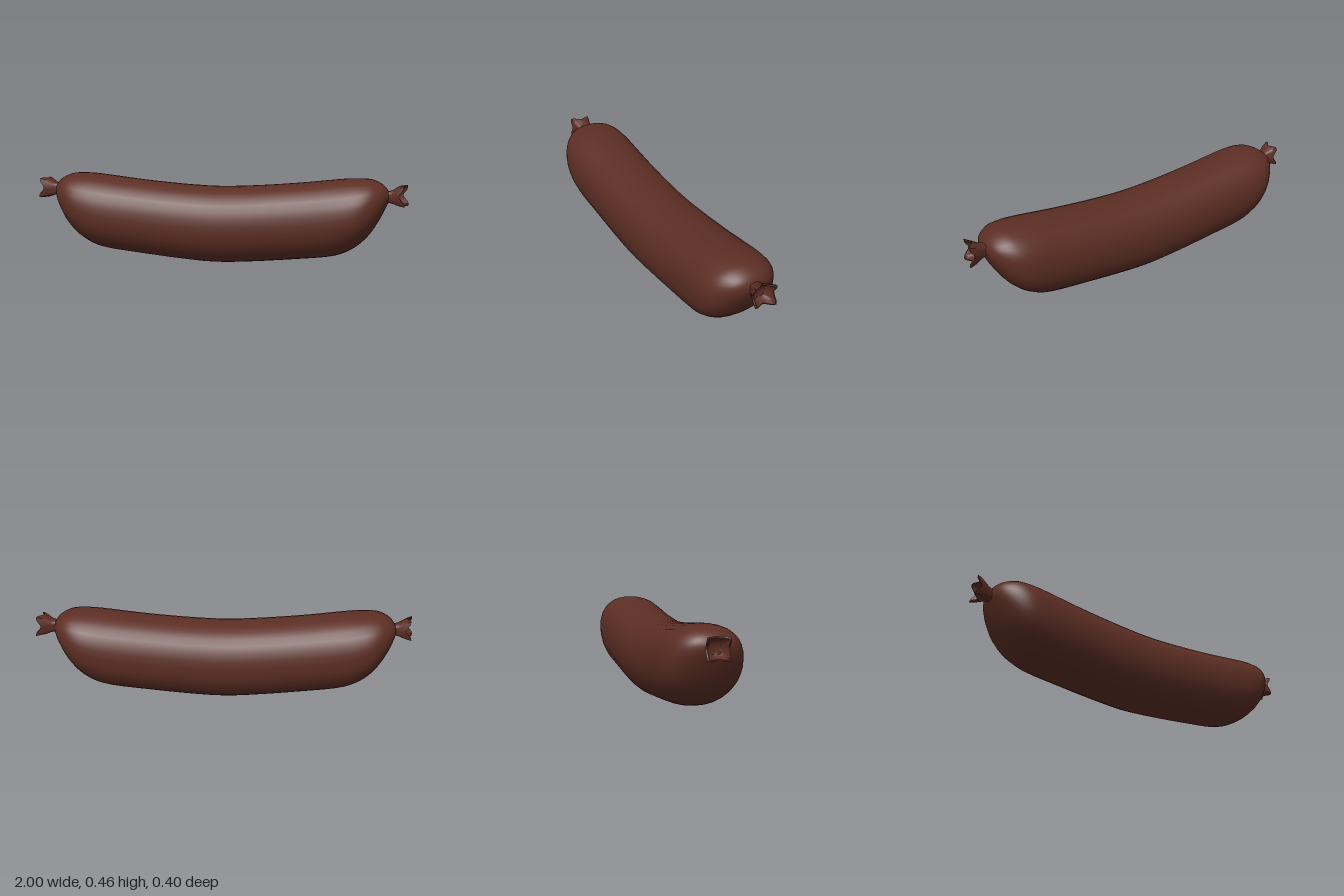
import * as THREE from 'three';
import { toCreasedNormals } from 'three/addons/utils/BufferGeometryUtils.js';

const SIDES = 32;

// Closed surface through rings ordered along +x; point(i, angle) returns [x, y, z].
function loft(ringCount, point) {
  const positions = [], indices = [];
  const centres = [[0, 0, 0], [0, 0, 0]];
  for (let i = 0; i < ringCount; i++) {
    for (let j = 0; j < SIDES; j++) {
      const p = point(i, (j / SIDES) * Math.PI * 2);
      positions.push(...p);
      if (i === 0) p.forEach((v, k) => { centres[0][k] += v / SIDES; });
      if (i === ringCount - 1) p.forEach((v, k) => { centres[1][k] += v / SIDES; });
    }
  }
  const start = ringCount * SIDES, end = start + 1;
  positions.push(...centres[0], ...centres[1]);
  for (let j = 0; j < SIDES; j++) {
    const n = (j + 1) % SIDES;
    for (let i = 0; i < ringCount - 1; i++) {
      const a = i * SIDES + j, b = i * SIDES + n;
      indices.push(a, b, a + SIDES, b, b + SIDES, a + SIDES);
    }
    const last = (ringCount - 1) * SIDES;
    indices.push(start, n, j, end, last + j, last + n);
  }
  const geometry = new THREE.BufferGeometry();
  geometry.setAttribute('position', new THREE.Float32BufferAttribute(positions, 3));
  geometry.setIndex(indices);
  geometry.computeVertexNormals();
  return geometry;
}

// Point on a unit superellipse: power 2 is a circle, higher is squarer.
function superellipse(angle, power) {
  const c = Math.cos(angle), s = Math.sin(angle);
  const r = (Math.abs(c) ** power + Math.abs(s) ** power) ** (-1 / power);
  return [c * r, s * r];
}

// Curved body: x, underside, upper side, half width
function bodyGeometry() {
  const half = [
    [0, 0.003, 0.408, 0.2],
    [0.2, 0.014, 0.416, 0.2],
    [0.42, 0.035, 0.434, 0.2],
    [0.6, 0.056, 0.454, 0.202],
    [0.69, 0.084, 0.463, 0.2],
    [0.76, 0.13, 0.465, 0.19],
    [0.815, 0.19, 0.461, 0.165],
    [0.86, 0.264, 0.442, 0.125],
    [0.886, 0.318, 0.42, 0.085],
    [0.9, 0.352, 0.395, 0.04],
    [0.904, 0.368, 0.38, 0.01],
  ];
  const stations = [...half.slice(1).reverse().map(([x, ...rest]) => [-x, ...rest]), ...half];
  const curve = (pick) => new THREE.CatmullRomCurve3(
    stations.map((s) => new THREE.Vector3(s[0], s[pick], s[3])), false, 'catmullrom', 0.5);
  const lower = curve(1), upper = curve(2);
  const count = (stations.length - 1) * 3 + 1;
  const rings = Array.from({ length: count }, (_, i) => {
    const t = i / (count - 1);
    return [lower.getPoint(t), upper.getPoint(t)];
  });
  return loft(count, (i, angle) => {
    const [low, high] = rings[i];
    const [y, z] = superellipse(angle, 2.25);
    return [low.x, (low.y + high.y) / 2 + y * (high.y - low.y) / 2, z * low.z];
  });
}

// Flared casing end: x, half size, scallop depth, squareness; folds back into a hollow
function knotGeometry() {
  const rings = [
    [0.875, 0.034, 0, 3],
    [0.9, 0.029, 0, 4],
    [0.92, 0.034, 0.002, 5],
    [0.945, 0.045, 0.006, 8],
    [0.965, 0.052, 0.011, 12],
    [0.974, 0.054, 0.013, 14],
    [0.974, 0.047, 0.013, 12],
    [0.96, 0.041, 0.008, 8],
    [0.943, 0.034, 0.003, 6],
    [0.934, 0.024, 0, 5],
  ];
  const geometry = loft(rings.length, (i, angle) => {
    const [x, size, scallop, power] = rings[i];
    const [y, z] = superellipse(angle, power);
    const skew = scallop * (0.75 * z + 0.25 * y);
    const lift = 0.374 + 0.006 * Math.min(1, scallop / 0.01);
    return [x - scallop * Math.cos(4 * angle) - skew, lift + y * size, z * size];
  });
  return toCreasedNormals(geometry, 0.75);
}

export function createModel() {
  const model = new THREE.Group();
  model.name = 'sausage';
  const material = new THREE.MeshStandardMaterial({ color: 0x5c2e24 });

  const body = new THREE.Mesh(bodyGeometry(), material);
  body.name = 'body';
  model.add(body);

  // Twisted casing ends, the second turned half way round
  const knot = knotGeometry();
  ['leftKnot', 'rightKnot'].forEach((name, i) => {
    const mesh = new THREE.Mesh(knot, material);
    mesh.name = name;
    mesh.rotation.y = i * Math.PI;
    model.add(mesh);
  });
  return model;
}
